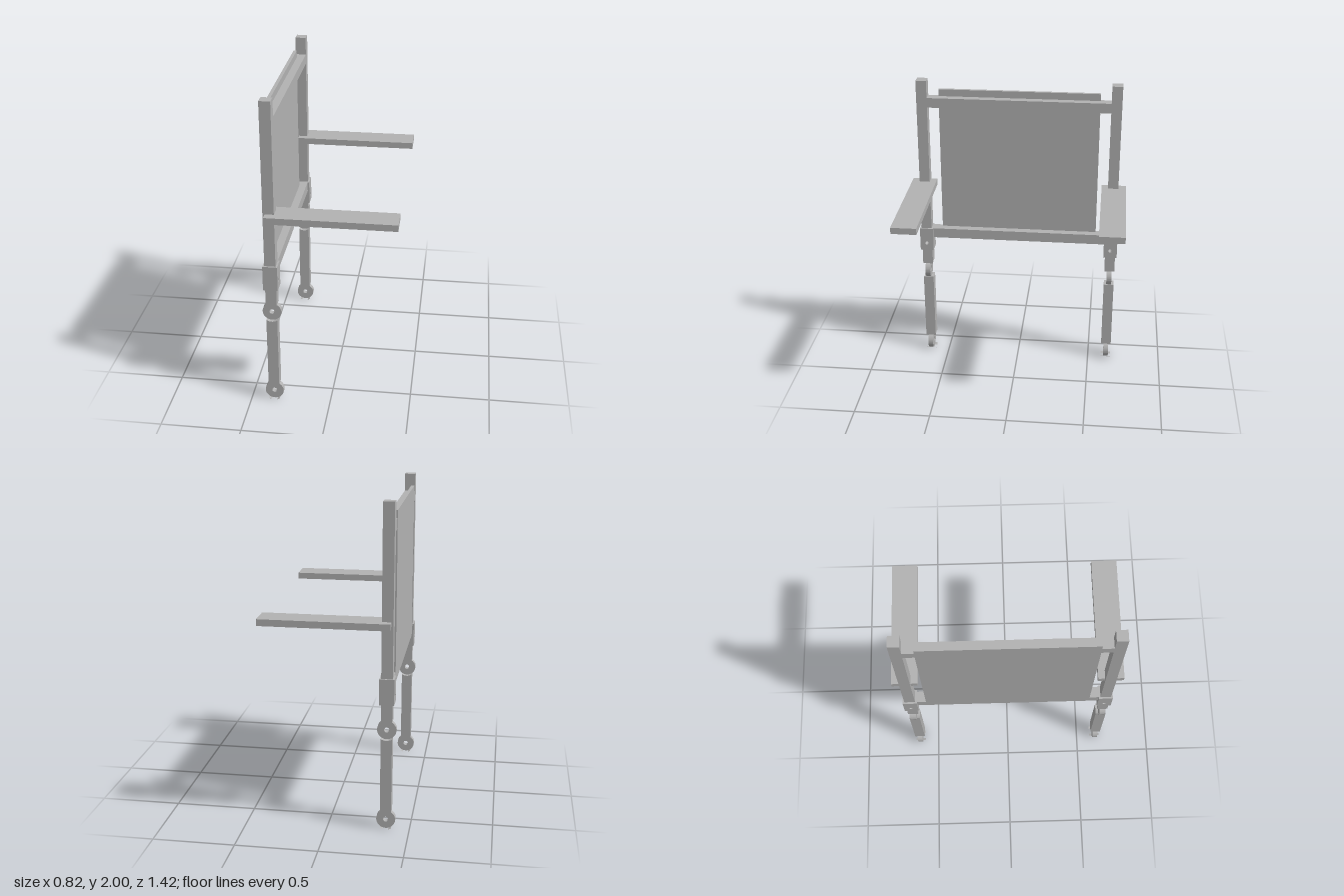
import * as THREE from 'three';
import { toCreasedNormals } from 'three/addons/utils/BufferGeometryUtils.js';

export function createModel() {
  const model = new THREE.Group();
  model.name = 'foldingFrame';
  const grey = new THREE.MeshStandardMaterial({ color: 0xb2b2b2 });
  grey.name = 'grey';

  const X = -0.355, Z = 0.626;      // post axis
  const H = 0.034;                  // half width of a post
  const KNEE = 0.639, FOOT = 0.06;  // joint heights
  const CUT = 0.0625, DISC = 0.058; // socket and disc radii

  function add(parent, name, geometry) {
    const mesh = new THREE.Mesh(geometry, grey);
    mesh.name = name;
    parent.add(mesh);
    return mesh;
  }
  function box(parent, name, x0, x1, y0, y1, z0, z1) {
    const mesh = add(parent, name, new THREE.BoxGeometry(x1 - x0, y1 - y0, z1 - z0));
    mesh.position.set((x0 + x1) / 2, (y0 + y1) / 2, (z0 + z1) / 2);
    return mesh;
  }
  // extrude a shape, centred on its own depth
  function slab(shape, depth) {
    const g = new THREE.ExtrudeGeometry(shape, { depth, bevelEnabled: false, curveSegments: 32 });
    g.translate(0, 0, -depth / 2);
    return toCreasedNormals(g, 0.6);
  }
  function circleHole(shape, x, y, r) {
    const hole = new THREE.Path();
    hole.absarc(x, y, r, 0, Math.PI * 2, true);
    shape.holes.push(hole);
  }
  // leg section whose ends are hollowed around the joint discs
  function legShape(bottomJoint, topJoint, flatTop) {
    const a = Math.acos(H / CUT), s = new THREE.Shape();
    s.absarc(0, bottomJoint, CUT, Math.PI - a, a, true);
    if (topJoint === null) {
      s.lineTo(H, flatTop);
      s.lineTo(-H, flatTop);
    } else {
      s.absarc(0, topJoint, CUT, -a, -Math.PI + a, true);
    }
    s.closePath();
    return s;
  }
  // small corner left below the foot disc
  function toeShape() {
    const a0 = -Math.acos(H / CUT), a1 = -Math.asin(FOOT / CUT);
    const s = new THREE.Shape();
    s.moveTo(H, 0);
    s.absarc(0, FOOT, CUT, a0, a1, true);
    s.closePath();
    return s;
  }

  const disc = new THREE.Shape();
  disc.absarc(0, 0, DISC, 0, Math.PI * 2, false);
  circleHole(disc, 0, 0, 0.016);
  const discGeometry = slab(disc, 0.034);

  const sleeve = new THREE.Shape();
  sleeve.moveTo(-0.045, 0.802).lineTo(0.045, 0.802).lineTo(0.045, 0.962).lineTo(-0.045, 0.962);
  sleeve.closePath();
  circleHole(sleeve, 0, 0.853, 0.012);
  const sleeveGeometry = slab(sleeve, 0.09).rotateY(Math.PI / 2);

  const upperLeg = slab(legShape(KNEE, null, 0.802), H * 2);
  const lowerLeg = slab(legShape(FOOT, KNEE), H * 2);
  const toe = slab(toeShape(), H * 2);

  for (const [side, s] of [['front', 1], ['back', -1]]) {
    const g = new THREE.Group();
    g.name = side + 'Post';
    g.position.set(X, 0, s * Z);
    model.add(g);

    box(g, 'post', -H, H, 0.962, 2, -H, H);
    add(g, 'sleeve', sleeveGeometry);
    add(g, 'upperLeg', upperLeg);
    add(g, 'lowerLeg', lowerLeg);
    add(g, 'kneeDisc', discGeometry).position.y = KNEE;
    add(g, 'footDisc', discGeometry).position.y = FOOT;
    add(g, 'toe', toe);
    add(g, 'toe', toe).rotation.y = Math.PI;

    // armrest
    box(model, side + 'Armrest', -0.376, 0.408, 1.265, 1.306, s * Z + s * 0.004 - 0.08, s * Z + s * 0.004 + 0.08);
  }

  // cross rails and back panel
  const zr = Z - H;
  box(model, 'topRail', X - H, X + H, 1.823, 1.887, -zr, zr);
  box(model, 'bottomRail', X - H, X + H, 0.895, 0.962, -zr, zr);
  box(model, 'backPanel', -0.391, -0.37, 0.897, 1.932, -0.522, 0.522);

  return model;
}
